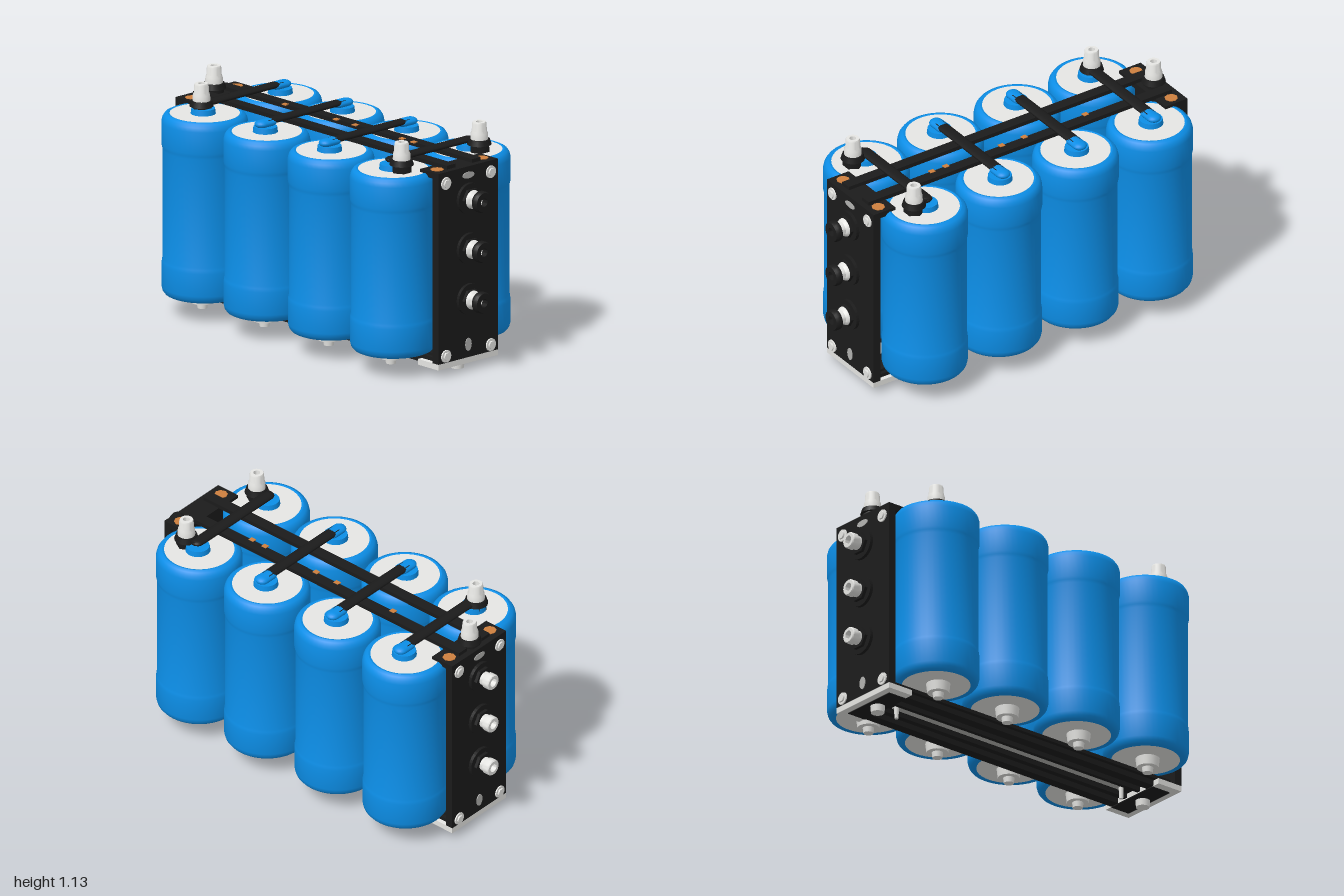
import * as THREE from 'three';
import { toCreasedNormals } from 'three/addons/utils/BufferGeometryUtils.js';

const mat = (name, color) => {
  const m = new THREE.MeshStandardMaterial({ color });
  m.name = name;
  return m;
};

export function createModel() {
  const blue = mat('blue wrap', 0x0d95f2);
  const black = mat('black frame', 0x1b1b1b);
  const silver = mat('silver metal', 0xe6e6e3);
  const grey = mat('grey wear', 0xb2b2b0);
  const copper = mat('copper', 0xcd7f3e);

  const root = new THREE.Group();
  const add = (name, geo, m, x = 0, y = 0, z = 0, parent = root) => {
    const mesh = new THREE.Mesh(geo, m);
    mesh.name = name;
    mesh.position.set(x, y, z);
    parent.add(mesh);
    return mesh;
  };
  const box = (name, w, h, d, m, x, y, z, parent) => add(name, new THREE.BoxGeometry(w, h, d), m, x, y, z, parent);
  const rod = (name, r1, r2, h, m, x, y, z, n = 24, parent = root) =>
    add(name, new THREE.CylinderGeometry(r1, r2, h, n), m, x, y, z, parent);
  const lathe = (pts, n = 24) =>
    toCreasedNormals(new THREE.LatheGeometry(pts.map(p => new THREE.Vector2(...p)), n), 0.6);

  const cellX = [-0.66, -0.235, 0.205, 0.63];
  const cellZ = 0.24, termZ = 0.252;

  // Wrapped cells with slightly wider end bands, metal caps and lower terminals
  const wrap = lathe([
    [0.16, 0.106], [0.175, 0.1], [0.188, 0.106], [0.199, 0.12], [0.204, 0.14], [0.204, 0.25], [0.202, 0.268],
    [0.199, 0.28], [0.199, 0.81], [0.202, 0.825], [0.205, 0.84], [0.205, 0.945], [0.2, 0.965], [0.19, 0.98],
    [0.175, 0.987], [0.16, 0.983]
  ], 48);
  for (const x of cellX) for (const s of [1, -1]) {
    const cell = new THREE.Group();
    cell.name = 'cell';
    cell.position.set(x, 0, s * cellZ);
    root.add(cell);
    add('cellWrap', wrap, blue, 0, 0, 0, cell);
    rod('topCap', 0.166, 0.166, 0.02, silver, 0, 0.975, 0, 40, cell);
    rod('bottomCap', 0.166, 0.166, 0.02, silver, 0, 0.115, 0, 40, cell);
    rod('lowerTerminal', 0.058, 0.052, 0.05, silver, 0, 0.084, s * 0.015, 24, cell);
    rod('lowerStud', 0.028, 0.024, 0.035, silver, 0, 0.05, s * 0.015, 20, cell);
    rod('topTerminal', 0.056, 0.06, 0.03, blue, 0, 0.996, s * 0.01, 24, cell);
  }

  // Black cross links with rounded ends, sleeved in blue where they meet a terminal
  const capsule = (name, r, len, m, x, y, z, flat) => {
    const c = add(name, new THREE.CapsuleGeometry(r, len, 6, 16), m, x, y, z);
    c.rotation.x = Math.PI / 2;
    c.scale.z = flat;
  };
  cellX.forEach((x, i) => {
    capsule('crossLink', 0.031, 0.5, black, x, 1.031, 0, 0.45);
    for (const s of [1, -1]) {
      if (i === 3) box('linkFoot', 0.08, 0.018, 0.05, black, x + 0.035, 1.031, s * termZ);
      else if (i > 0 || s < 0) capsule('linkSleeve', 0.035, 0.05, blue, x, 1.026, s * 0.248, 0.55);
    }
  });

  // Upright hollow posts on flanged black nuts
  const postGeo = lathe([
    [0.042, 0], [0.041, 0.03], [0.036, 0.042], [0.034, 0.078], [0.031, 0.085],
    [0.016, 0.085], [0.014, 0.03], [0, 0.03]
  ]);
  for (const [x, z] of [[-0.67, termZ], [0.7, termZ], [0.7, -termZ], [-0.85, 0]]) {
    rod('postNut', 0.048, 0.05, 0.05, black, x, 1.005, z, 6);
    rod('postFlange', 0.05, 0.058, 0.026, black, x, 1.033, z, 20);
    add('post', postGeo, silver, x, 1.045, z);
  }

  // Long top rails with small copper contacts
  for (const s of [1, -1]) box('topRail', 1.74, 0.02, 0.055, black, -0.01, 1.008, s * 0.082);
  for (const x of [-0.42, -0.07, 0.06, 0.38, 0.46])
    box('copperContact', 0.028, 0.005, 0.024, copper, x, 1.018, -0.055);

  // Bottom channel with a worn centre strip
  box('bottomPlate', 1.7, 0.018, 0.35, black, -0.01, 0.077, 0);
  for (const s of [1, -1]) {
    box('bottomRail', 1.74, 0.058, 0.05, black, -0.01, 0.069, s * 0.13);
    box('bottomInnerRib', 1.6, 0.025, 0.02, black, -0.01, 0.057, s * 0.048);
  }
  box('bottomStrip', 1.4, 0.006, 0.05, grey, -0.01, 0.066, 0);
  for (const [x, w] of [[-0.56, 0.08], [-0.4, 0.16], [-0.13, 0.11], [0.03, 0.1], [0.16, 0.07], [0.4, 0.12], [0.53, 0.1], [0.73, 0.1]])
    box('channelWear', w, 0.006, 0.075, grey, x, 0.088, 0.01);
  for (const x of [-0.31, 0.28]) box('channelBlueMark', 0.08, 0.006, 0.045, blue, x, 0.088, 0.03);

  // Bored plates: a polygon with round holes, extruded towards +x
  const bored = (pts, holes, r, depth) => {
    const shape = new THREE.Shape(pts.map(p => new THREE.Vector2(...p)));
    for (const y of holes) shape.holes.push(new THREE.Path().absarc(0, y, r, 0, Math.PI * 2, true));
    return new THREE.ExtrudeGeometry(shape, { depth, bevelEnabled: false, curveSegments: 12 }).rotateY(Math.PI / 2);
  };
  const ngon = (r, n) => Array.from({ length: n }, (_, i) => {
    const a = (i / n) * Math.PI * 2;
    return [r * Math.cos(a), r * Math.sin(a)];
  });

  const fittingY = [0.845, 0.6, 0.352];
  const bore = 0.021;
  const plateGeo = bored([[-0.193, 0.065], [0.193, 0.065], [0.193, 1], [-0.193, 1]], fittingY, bore, 0.04);
  const washerGeo = bored(ngon(0.075, 32), [0], bore, 0.016);
  const nutGeo = bored(ngon(0.054, 6), [0], bore, 0.032);
  // Hollow fittings: plain nozzle on one end, black-tipped neck on the other
  const nozzle = lathe([
    [0.034, 0.03], [0.034, 0.045], [0.04, 0.055], [0.04, 0.085], [0.036, 0.09], [bore, 0.09], [bore, -0.04]
  ]);
  const neck = lathe([[0.046, 0.03], [0.044, 0.04], [0.036, 0.05], [0.036, 0.08], [bore, 0.08], [bore, -0.04]]);
  const tip = lathe([
    [bore, 0.075], [0.048, 0.075], [0.052, 0.081], [0.052, 0.1], [0.047, 0.11], [bore, 0.11], [bore, 0.075]
  ]);

  // Ends: each is built facing +x, then turned round for the other side
  const sideways = (mesh) => { mesh.rotation.z = -Math.PI / 2; return mesh; };
  for (const s of [1, -1]) {
    const end = new THREE.Group();
    end.name = s > 0 ? 'leftEnd' : 'rightEnd';
    end.position.x = s > 0 ? 0.89 : -0.91;
    if (s < 0) end.rotation.y = Math.PI;
    root.add(end);

    add('endPlate', plateGeo, black, -0.04, 0, 0, end);
    box('topFlange', 0.12, 0.03, 0.386, black, -0.065, 0.985, 0, end);
    box('bottomFlange', 0.14, 0.028, 0.386, silver, -0.07, 0.051, 0, end);
    box('flangeRecess', 0.105, 0.006, 0.3, black, -0.0885, 0.036, 0, end);
    const wear = (name, y, ry, rz) => {
      const w = sideways(rod(name, 1, 1, 0.005, grey, 0.001, y, 0, 14, end));
      w.scale.set(ry, 1, rz);
    };
    wear('upperWear', 0.958, 0.016, 0.038);
    wear('lowerWear', 0.128, 0.032, 0.02);

    for (const z of [0.145, -0.145]) {
      rod('copperBolt', 0.032, 0.032, 0.008, copper, -0.06, 0.999, z, 8, end);
      for (const y of [0.945, 0.098]) {
        sideways(rod('boltWasher', 0.03, 0.032, 0.012, silver, 0, y, z, 20, end));
        sideways(rod('boltHead', 0.02, 0.022, 0.016, silver, 0.006, y, z, 6, end));
      }
    }

    for (const y of fittingY) {
      add('fittingWasher', washerGeo, black, 0, y, 0, end);
      add('fittingNut', nutGeo, black, 0, y, 0, end);
      if (s > 0) {
        sideways(add('fittingNeck', neck, silver, 0, y, 0, end));
        sideways(add('fittingTip', tip, black, 0, y, 0, end));
      } else sideways(add('fittingNozzle', nozzle, silver, 0, y, 0, end));
    }

    // Foot and small locating peg under the end
    rod('foot', 0.036, 0.032, 0.04, silver, s > 0 ? -0.075 : -0.092, 0.02, 0, 20, end);
    rod('peg', 0.012, 0.01, 0.06, silver, -0.208, 0.036, 0, 12, end);
  }
  return root;
}
